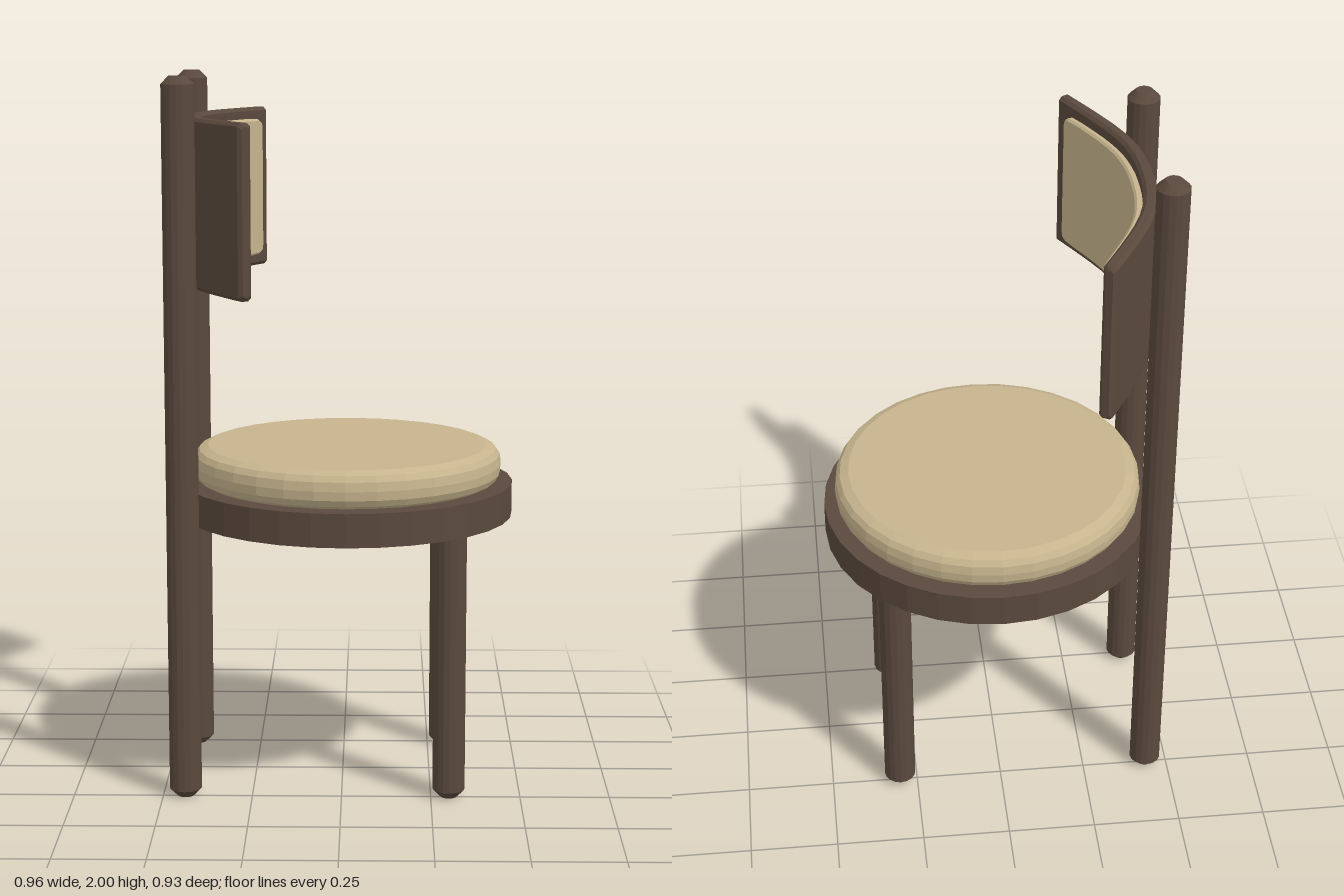
import * as THREE from 'three';

const wood = new THREE.MeshStandardMaterial({ color: 0x5a493d, flatShading: true });
wood.name = 'dark wood';
const fabric = new THREE.MeshStandardMaterial({ color: 0xc6b48d, flatShading: true });
fabric.name = 'beige fabric';

function lathe(name, profile, sides, material) {
  const points = profile.map(([r, y]) => new THREE.Vector2(r, y));
  const mesh = new THREE.Mesh(new THREE.LatheGeometry(points, sides), material);
  mesh.name = name;
  return mesh;
}

// Centre line of the curved backrest, seen from above
const backCurve = new THREE.CatmullRomCurve3([
  [-0.245, -0.457], [-0.307, -0.35], [-0.362, -0.245], [-0.39, -0.17], [-0.406, -0.085], [-0.41, 0],
  [-0.406, 0.085], [-0.39, 0.17], [-0.362, 0.245], [-0.307, 0.35], [-0.245, 0.457],
].map(([x, z]) => new THREE.Vector3(x, 0, z)));

// Sweeps a chamfered rectangle along the curve, shrinking it at the ends by [u, inset] steps
function curvedPanel(name, { y, halfHeight, halfThick, chamfer, offset, start, ends }, material) {
  const stations = ends.map(([du, h, t]) => [start + du, h, t]);
  const first = stations[stations.length - 1][0];
  const steps = 18;
  for (let i = 1; i < steps; i++) stations.push([first + (1 - 2 * first) * i / steps, 0, 0]);
  for (const [du, h, t] of [...ends].reverse()) stations.push([1 - start - du, h, t]);

  const positions = [], index = [], n = 8;
  for (const [u, insetH, insetT] of stations) {
    const p = backCurve.getPointAt(u), d = backCurve.getTangentAt(u);
    const H = halfHeight - insetH, T = halfThick - insetT, c = Math.min(chamfer, T * 0.6);
    const loop = [[T, -H + c], [T, H - c], [T - c, H], [c - T, H],
      [-T, H - c], [-T, c - H], [c - T, -H], [T - c, -H]];
    for (const [t, v] of loop) {
      positions.push(p.x + d.z * (t + offset), y + v, p.z - d.x * (t + offset));
    }
  }
  const last = (stations.length - 1) * n;
  for (let i = 0; i < last; i += n) {
    for (let j = 0; j < n; j++) {
      const k = (j + 1) % n;
      index.push(i + j, i + k, i + n + k, i + j, i + n + k, i + n + j);
    }
  }
  for (let j = 1; j < n - 1; j++) index.push(0, j + 1, j, last, last + j, last + j + 1);

  const geometry = new THREE.BufferGeometry();
  geometry.setAttribute('position', new THREE.Float32BufferAttribute(positions, 3));
  geometry.setIndex(index);
  geometry.computeVertexNormals();
  const mesh = new THREE.Mesh(geometry, material);
  mesh.name = name;
  return mesh;
}

export function createModel() {
  const group = new THREE.Group();
  group.name = 'chair';

  // Round seat and its cushion
  const seat = lathe('seat', [[0, 0.765], [0.467, 0.765], [0.467, 0.858], [0, 0.858]], 32, wood);
  const cushion = lathe('seatCushion', [[0, 0.857], [0.405, 0.857], [0.423, 0.867], [0.433, 0.885],
    [0.435, 0.91], [0.431, 0.935], [0.42, 0.951], [0.395, 0.962], [0, 0.962]], 32, fabric);
  for (const part of [seat, cushion]) {
    part.position.x = 0.013;
    group.add(part);
  }

  // Tall back posts and short front legs with chamfered ends
  for (const side of [-1, 1]) {
    const post = lathe('backPost', [[0, 0], [0.023, 0], [0.045, 0.022], [0.045, 1.978], [0.023, 2], [0, 2]], 16, wood);
    post.position.set(-0.437, 0, 0.243 * side);
    const leg = lathe('frontLeg', [[0, 0], [0.023, 0], [0.045, 0.022], [0.045, 0.77], [0, 0.77]], 16, wood);
    leg.position.set(0.3, 0, 0.243 * side);
    group.add(post, leg);
  }

  // Curved backrest board with a thin pad on its inner face
  group.add(curvedPanel('backrest', {
    y: 1.654, halfHeight: 0.232, halfThick: 0.019, chamfer: 0.009, offset: 0, start: 0,
    ends: [[0, 0.01, 0.009], [0.01, 0, 0]],
  }, wood));
  group.add(curvedPanel('backrestPad', {
    y: 1.655, halfHeight: 0.2, halfThick: 0.011, chamfer: 0.006, offset: 0.029, start: 0.055,
    ends: [[0, 0.025, 0.004], [0.007, 0.01, 0.001], [0.022, 0.002, 0]],
  }, fabric));

  return group;
}
